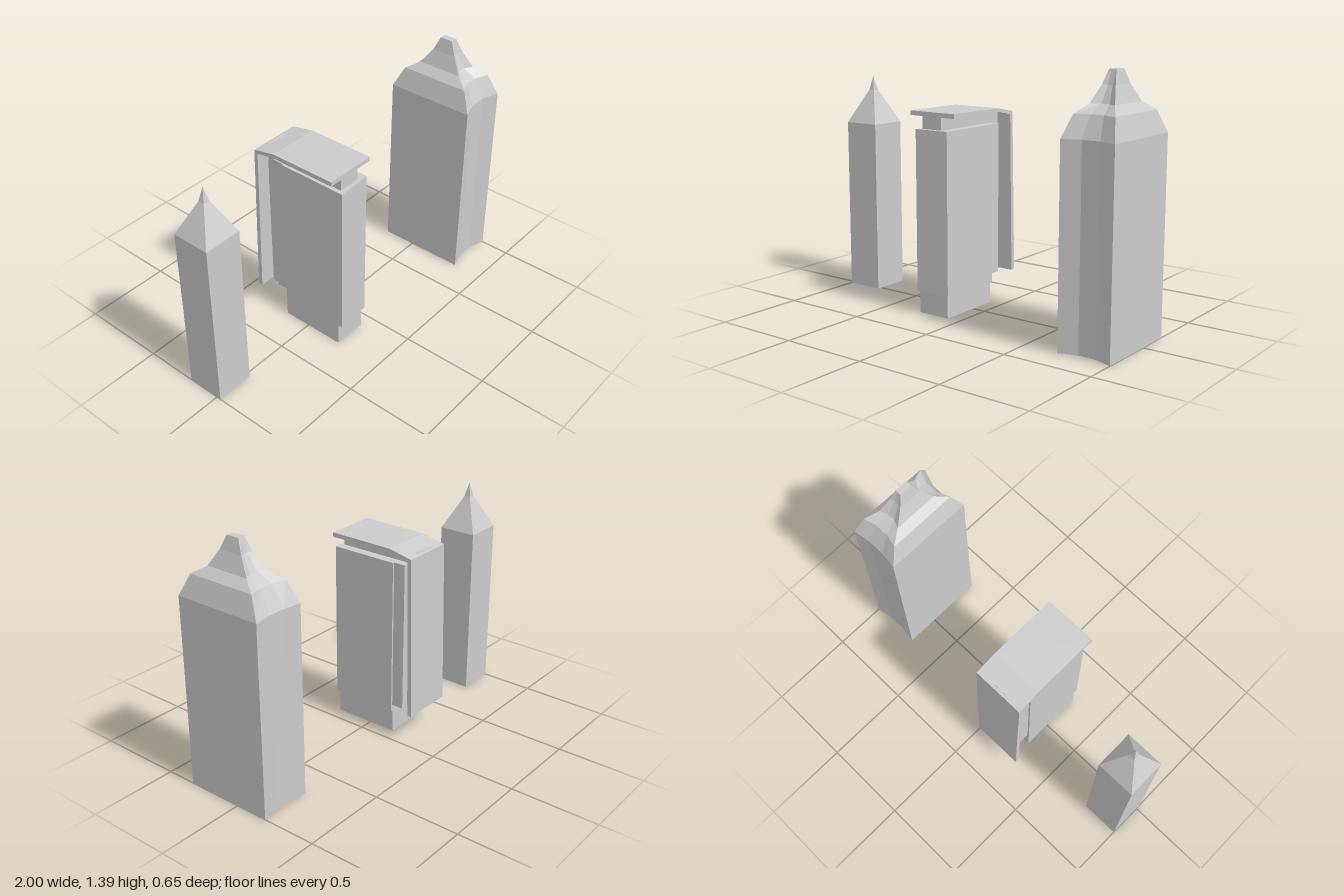
import * as THREE from 'three';

const material = new THREE.MeshStandardMaterial({ color: 0xcccccc, flatShading: true });

function addMesh(parent, geometry, name) {
  const mesh = new THREE.Mesh(geometry, material);
  mesh.name = name;
  parent.add(mesh);
  return mesh;
}

// Box given by its lower and upper limits on each axis
function addBox(parent, name, [x0, x1], [y0, y1], [z0, z1]) {
  const mesh = addMesh(parent, new THREE.BoxGeometry(x1 - x0, y1 - y0, z1 - z0), name);
  mesh.position.set((x0 + x1) / 2, (y0 + y1) / 2, (z0 + z1) / 2);
}

// Closed flat-shaded solid through rings of [x, y, z], counter-clockwise from above
function loft(rings) {
  const positions = [];
  const n = rings[0].length;
  const tri = (a, b, c) => positions.push(...a, ...b, ...c);
  const centre = ring => [0, 1, 2].map(k => ring.reduce((s, p) => s + p[k], 0) / n);
  const bottom = rings[0], top = rings[rings.length - 1];
  const bottomMid = centre(bottom), topMid = centre(top);
  for (let i = 0; i < n; i++) {
    const j = (i + 1) % n;
    for (let r = 0; r < rings.length - 1; r++) {
      const lo = rings[r], hi = rings[r + 1];
      tri(lo[i], lo[j], hi[j]);
      tri(lo[i], hi[j], hi[i]);
    }
    tri(bottomMid, bottom[j], bottom[i]);
    tri(topMid, top[i], top[j]);
  }
  const geometry = new THREE.BufferGeometry();
  geometry.setAttribute('position', new THREE.Float32BufferAttribute(positions, 3));
  geometry.computeVertexNormals();
  return geometry;
}

// Square tower with a steep two-stage spire
function spireTower() {
  const group = new THREE.Group();
  group.name = 'spireTower';
  const rings = [[0, 0.11], [0.99, 0.11], [1.18, 0.018], [1.26, 0.0005]].map(([y, h]) =>
    [[-h, y, h], [h, y, h], [h, y, -h], [-h, y, -h]]);
  addMesh(group, loft(rings), 'spireTowerBody');
  group.position.set(-0.89, 0, -0.085);
  return group;
}

// Block tower under a bent roof that runs down the back
function canopyTower() {
  const group = new THREE.Group();
  group.name = 'canopyTower';

  addBox(group, 'base', [-0.275, -0.08], [0, 0.13], [-0.16, 0.225]);

  const body = [0.13, 1.03].map(y =>
    [[-0.275, y, 0.248], [-0.068, y, 0.238], [-0.065, y, -0.16], [-0.275, y, -0.16]]);
  addMesh(group, loft(body), 'mainBlock');

  addBox(group, 'rearStrip', [-0.265, -0.075], [0.17, 1.03], [-0.23, -0.15]);
  addBox(group, 'core', [-0.25, -0.12], [0.17, 1.1], [-0.285, 0.22]);

  // Side profile of the roof and back plate, as [z, y]
  const profile = [
    [0.225, 1.1], [0.225, 1.125], [-0.165, 1.122], [-0.302, 1.093],
    [-0.326, 0.17], [-0.3, 0.17], [-0.28, 1.077], [-0.18, 1.097],
  ].map(p => new THREE.Vector2(...p));
  const canopy = new THREE.ExtrudeGeometry(new THREE.Shape(profile), { depth: 0.3, bevelEnabled: false });
  canopy.rotateY(-Math.PI / 2).translate(-0.03, 0, 0);
  addMesh(group, canopy, 'canopy');
  return group;
}

// Deep tower with hollowed front and back and a stepped crown
function crownTower() {
  const group = new THREE.Group();
  group.name = 'crownTower';
  // Each level: height, half width, front z, back z, front hollow, back hollow
  const levels = [
    [0, 0.15, 0.327, -0.192, 0.035, 0.015],
    [1.07, 0.15, 0.327, -0.192, 0.035, 0.015],
    [1.187, 0.115, 0.27, -0.135, 0.03, 0.018],
    [1.232, 0.07, 0.197, -0.062, 0.03, 0.02],
    [1.32, 0.038, 0.14, -0.002, 0.015, 0.01],
    [1.395, 0.02, 0.105, 0.03, 0, 0],
  ];
  const rings = levels.map(([y, w, front, back, fIn, bIn]) => {
    const m = w * 0.33;
    return [
      [-w, y, front], [-m, y, front - fIn], [m, y, front - fIn], [w, y, front],
      [w, y, back], [m, y, back + bIn], [-m, y, back + bIn], [-w, y, back],
    ];
  });
  addMesh(group, loft(rings), 'crownTowerBody');
  group.position.x = 0.85;
  return group;
}

export function createModel() {
  const model = new THREE.Group();
  model.name = 'threeTowers';
  model.add(spireTower(), canopyTower(), crownTower());
  return model;
}
